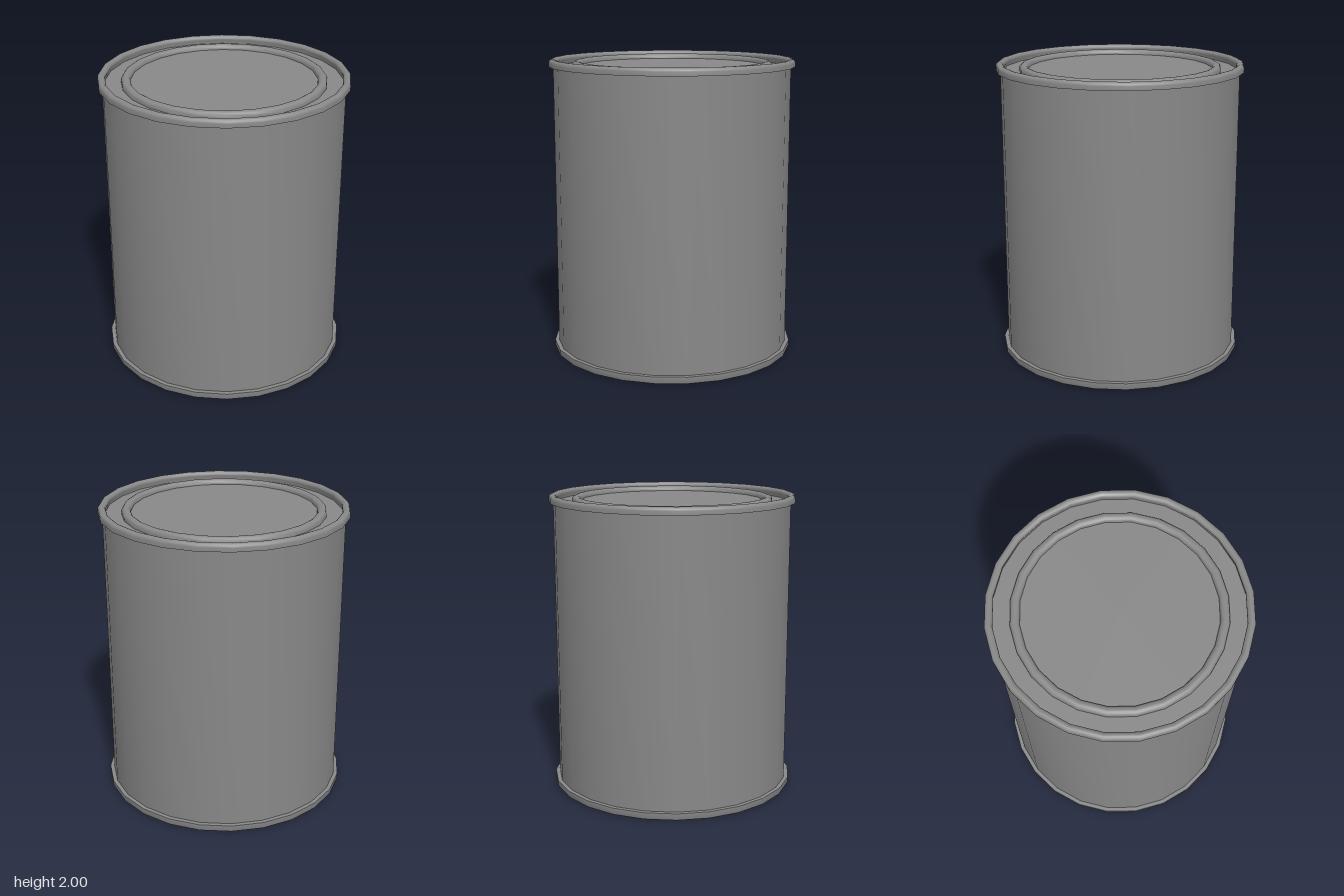
import * as THREE from 'three';
import { toCreasedNormals } from 'three/addons/utils/BufferGeometryUtils.js';

const SIDES = 24;
const material = new THREE.MeshStandardMaterial({ color: 0x888888 });

// Points of an elliptical arc in the profile plane, angles in degrees
function arc(cx, cy, rx, ry, from, to, steps) {
  return Array.from({ length: steps + 1 }, (_, i) => {
    const a = THREE.MathUtils.degToRad(from + ((to - from) * i) / steps);
    return [cx + rx * Math.cos(a), cy + ry * Math.sin(a)];
  });
}

// Turned part: smooth around, sharp at the profile's corners
function turned(name, profile) {
  const lathe = new THREE.LatheGeometry(profile.map(([r, y]) => new THREE.Vector2(r, y)), SIDES);
  const mesh = new THREE.Mesh(toCreasedNormals(lathe, 0.7), material);
  mesh.name = name;
  return mesh;
}

// Flat horizontal disc whose corners line up with the turned parts
function disc(name, radius, y, facing) {
  const mesh = new THREE.Mesh(new THREE.CircleGeometry(radius, SIDES), material);
  mesh.rotation.x = (-facing * Math.PI) / 2;
  mesh.position.y = y;
  mesh.name = name;
  return mesh;
}

export function createModel() {
  const can = new THREE.Group();
  can.name = 'can';

  // Straight wall
  can.add(turned('body', [[0.795, 0.03], [0.795, 1.97]]));

  // Rolled rim around the top, curling in above the recessed lid
  can.add(turned('topRim', [
    [0.79, 1.95], [0.823, 1.95],
    ...arc(0.798, 1.977, 0.025, 0.023, 0, 210, 9),
    [0.778, 1.942],
  ]));

  // Lid: flat outer floor, raised bead, flat centre panel
  can.add(turned('lidBead', [
    [0.785, 1.945], [0.67, 1.945],
    ...arc(0.64, 1.96, 0.03, 0.026, 0, 180, 8),
    [0.61, 1.952],
  ]));
  can.add(disc('lidPanel', 0.612, 1.953, 1));

  // Bottom rim rolled under the edge of a flat base
  can.add(turned('bottomRim', [
    ...arc(0.806, 0.02, 0.017, 0.02, -140, 0, 6),
    [0.823, 0.05], [0.79, 0.05],
  ]));
  can.add(disc('base', 0.797, 0.006, -1));

  return can;
}
